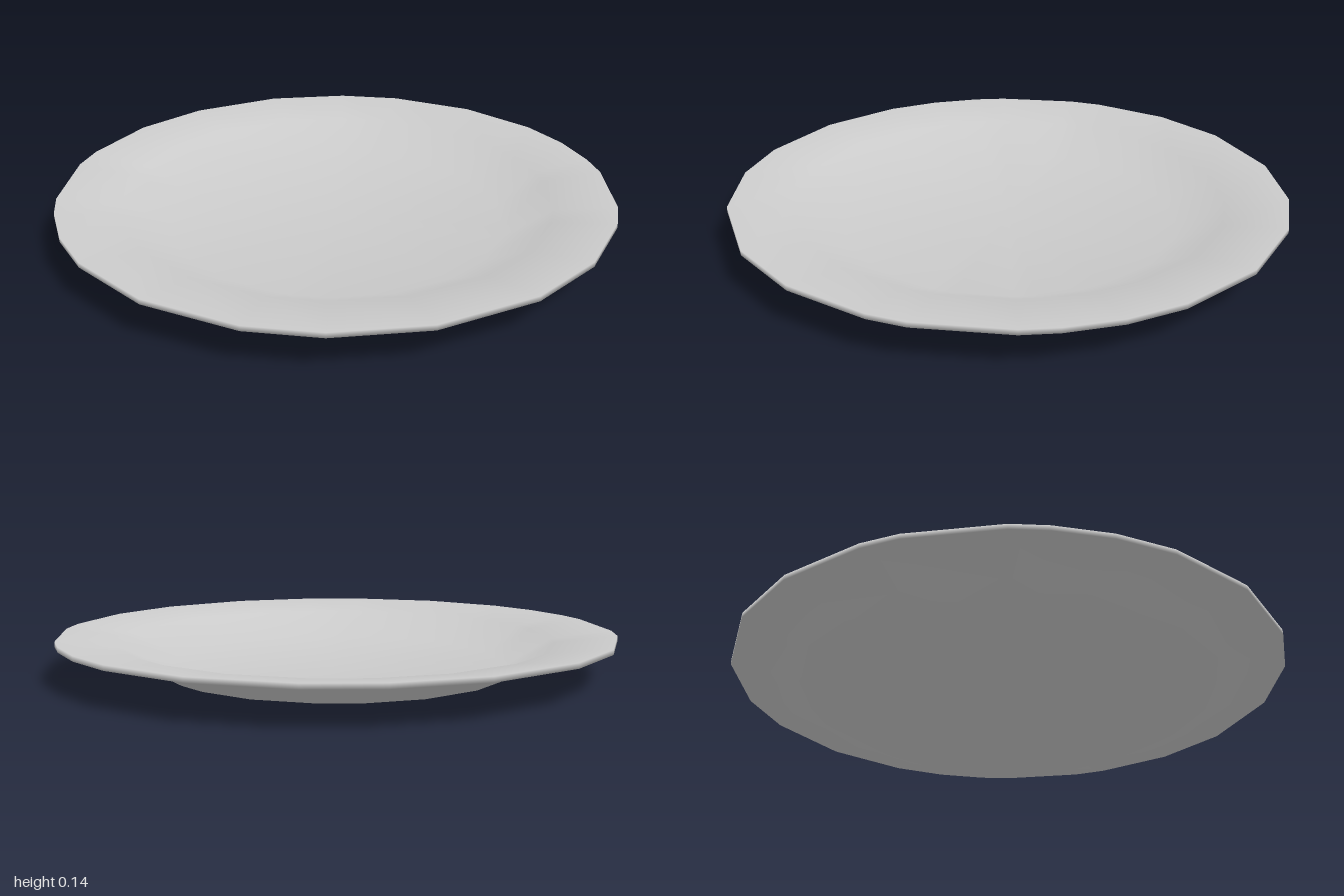
import * as THREE from 'three';
import { mergeVertices } from 'three/addons/utils/BufferGeometryUtils.js';

// Half-turn of uneven facet angles (degrees from +z towards +x), repeated for the other half
const HALF = [-2, 17.5, 31.5, 49.5, 70, 87, 104.5, 112, 130, 137, 148, 159.6];

// Closed section: underside from the axis outwards, round the rim, back across the top
const SECTION = [
  [0, 0], [0.63, 0], [0.79, 0.09], [1, 0.12],
  [1, 0.138], [0.78, 0.108], [0.61, 0.02], [0, 0.02],
].map(([r, y]) => new THREE.Vector2(r, y));

function facetAngle(i) {
  const n = HALF.length;
  const turns = Math.floor(i / n) % 2;
  return THREE.MathUtils.degToRad(HALF[i % n] + 180 * turns);
}

export function createModel() {
  const group = new THREE.Group();
  group.name = 'plate';

  // Turned dish with its facets shifted to the uneven angles
  let geometry = new THREE.LatheGeometry(SECTION, HALF.length * 2);
  const pos = geometry.attributes.position;
  for (let i = 0; i < pos.count; i++) {
    const a = facetAngle(Math.floor(i / SECTION.length));
    const p = SECTION[i % SECTION.length];
    pos.setXYZ(i, p.x * Math.sin(a), p.y, p.x * Math.cos(a));
  }

  // Weld everything so shading is smooth over the rim
  geometry.deleteAttribute('uv');
  geometry.deleteAttribute('normal');
  geometry = mergeVertices(geometry, 1e-4);
  geometry.computeVertexNormals();

  const dish = new THREE.Mesh(geometry, new THREE.MeshStandardMaterial({ color: 0xcccccc }));
  dish.name = 'dish';
  group.add(dish);
  return group;
}
